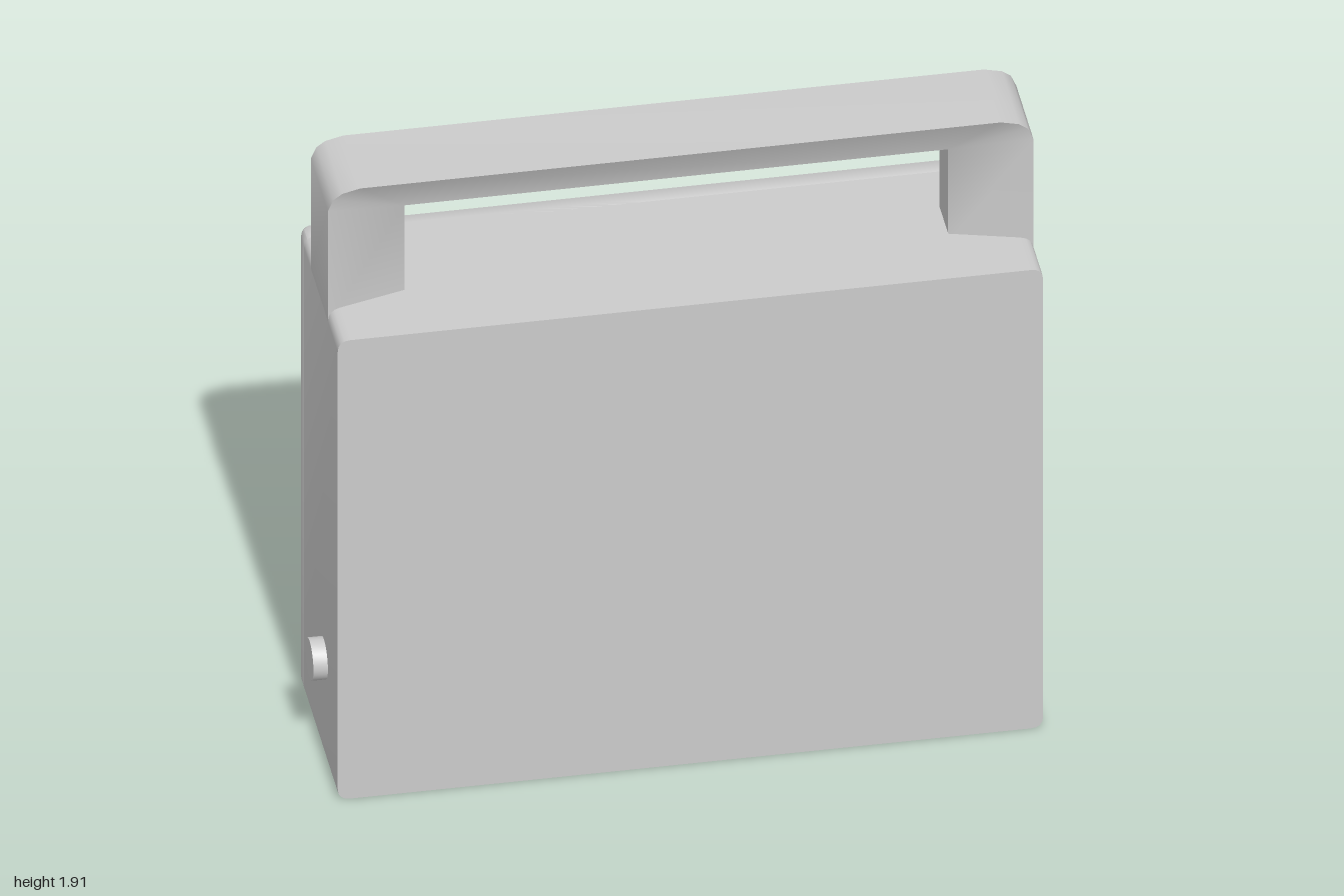
import * as THREE from 'three';
import { toCreasedNormals } from 'three/addons/utils/BufferGeometryUtils.js';

const CX = 0.02;             // the cabinet sits beside the side lever
const HALF = 0.98, H = 1.52; // cabinet half width and height
const PANEL = -0.195;        // depth of the sunken face

export function createModel() {
  const model = new THREE.Group();
  const mat = new THREE.MeshStandardMaterial({ color: 0xcccccc });

  const add = (name, geo, x = 0, y = 0, z = 0, crease = 0.6) => {
    const mesh = new THREE.Mesh(toCreasedNormals(geo, crease), mat);
    mesh.name = name;
    mesh.position.set(x, y, z);
    model.add(mesh);
    return mesh;
  };

  // rectangle with rounded corners, for the cabinet and the frame opening
  const roundRect = (T, x0, y0, x1, y1, r) => {
    const s = new T();
    s.moveTo(x0 + r, y0);
    s.lineTo(x1 - r, y0).quadraticCurveTo(x1, y0, x1, y0 + r);
    s.lineTo(x1, y1 - r).quadraticCurveTo(x1, y1, x1 - r, y1);
    s.lineTo(x0 + r, y1).quadraticCurveTo(x0, y1, x0, y1 - r);
    s.lineTo(x0, y0 + r).quadraticCurveTo(x0, y0, x0 + r, y0);
    return s;
  };
  const outline = () => roundRect(THREE.Shape, CX - HALF, 0, CX + HALF, H, 0.035);

  // cabinet
  add('cabinet', new THREE.ExtrudeGeometry(outline(),
    { depth: 0.335 - PANEL, bevelEnabled: false, curveSegments: 4 }), 0, 0, PANEL);

  // raised frame with a softened edge around the sunken face
  const rim = outline();
  rim.holes.push(roundRect(THREE.Path, CX - HALF + 0.03, 0.035, CX + HALF - 0.03, H - 0.03, 0.02));
  add('faceFrame', new THREE.ExtrudeGeometry(rim, {
    depth: 0.05, bevelThickness: 0.012, bevelSize: 0.012, bevelOffset: -0.012,
    bevelSegments: 2, curveSegments: 4,
  }), 0, 0, -0.228);

  // carrying handle: wide outside, narrowing towards the opening
  const half = [ // outer x, outer y, inner x, inner y
    [-0.98, 1.485, -0.755, 1.485], [-0.98, 1.85, -0.755, 1.8], [-0.965, 1.885, -0.755, 1.8],
    [-0.94, 1.903, -0.755, 1.8], [-0.89, 1.915, -0.755, 1.8],
  ];
  const path = [...half, ...half.map(([a, b, c, d]) => [-a, b, -c, d]).reverse()];
  const pos = [], idx = [];
  path.forEach(([ox, oy, ix, iy]) => pos.push(
    ox + CX, oy, 0.185, ox + CX, oy, -0.075, ix + CX, iy, -0.012, ix + CX, iy, 0.122));
  for (let i = 0; i < path.length - 1; i++) {
    for (let j = 0; j < 4; j++) {
      const k = (j + 1) % 4, a = i * 4, b = a + 4;
      idx.push(a + k, a + j, b + j, a + k, b + j, b + k);
    }
  }
  const handle = new THREE.BufferGeometry();
  handle.setAttribute('position', new THREE.Float32BufferAttribute(pos, 3));
  handle.setIndex(idx);
  add('handle', handle);

  // double rail between the dial and the controls
  const inner = 2 * (HALF - 0.03);
  add('dividerRail', new THREE.BoxGeometry(inner, 0.055, 0.03), CX, 1.052, PANEL - 0.01);
  add('dividerRidge', new THREE.BoxGeometry(inner, 0.025, 0.04), CX, 1.06, PANEL - 0.018);

  // tuning needle
  add('needle', new THREE.BoxGeometry(0.024, 0.33, 0.03), -0.17, 1.315, PANEL - 0.012);

  // turned parts point out of the face (-z)
  const lathe = (pts, n) => new THREE.LatheGeometry(
    pts.map(([r, y]) => new THREE.Vector2(r, y)), n).rotateX(-Math.PI / 2);

  // tuning knob with a raised cap and a bored centre
  add('tuningKnob', lathe([[0.15, 0], [0.15, 0.122], [0.143, 0.13], [0.116, 0.13],
    [0.112, 0.14], [0.032, 0.14], [0.03, 0.125], [0, 0.125]], 24), -0.685, 1.315, PANEL);

  // two small control knobs
  for (const x of [0.427, 0.66]) {
    add('controlKnob', lathe([[0.062, 0], [0.062, 0.05], [0.057, 0.14], [0, 0.14]], 20),
      x, 0.91, PANEL);
  }

  // speaker grille bars, broken by a small rectangular gap
  const bar = (x0, x1, y) => {
    const g = new THREE.CylinderGeometry(0.018, 0.018, x1 - x0, 8).rotateZ(Math.PI / 2);
    g.scale(1, 1, 1.7);
    add('grilleBar', g, (x0 + x1) / 2, y, PANEL, 0.9);
  };
  const left = CX - HALF + 0.03, right = CX + HALF - 0.03;
  for (let i = 0; i < 13; i++) {
    const y = 0.075 + i * 0.057;
    if (y > 0.11 && y < 0.255) {
      bar(left, 0.62, y);
      bar(0.74, right, y);
    } else bar(left, right, y);
  }

  // side lever: round hub with a tapering, sloping tail
  add('leverHub', new THREE.CylinderGeometry(0.06, 0.06, 0.05, 24).rotateZ(Math.PI / 2),
    -0.975, 0.33, 0.125);
  const tail = new THREE.BoxGeometry(0.05, 0.16, 0.09);
  const p = tail.attributes.position;
  for (let i = 0; i < p.count; i++) {
    if (p.getY(i) > 0) continue;
    p.setZ(i, p.getZ(i) * 0.35);
    if (p.getX(i) < 0) p.setX(i, 0.002);
  }
  tail.translate(0, -0.08, 0).rotateX(Math.PI / 4);
  add('leverTail', tail, -0.974, 0.33, 0.125);

  return model;
}
